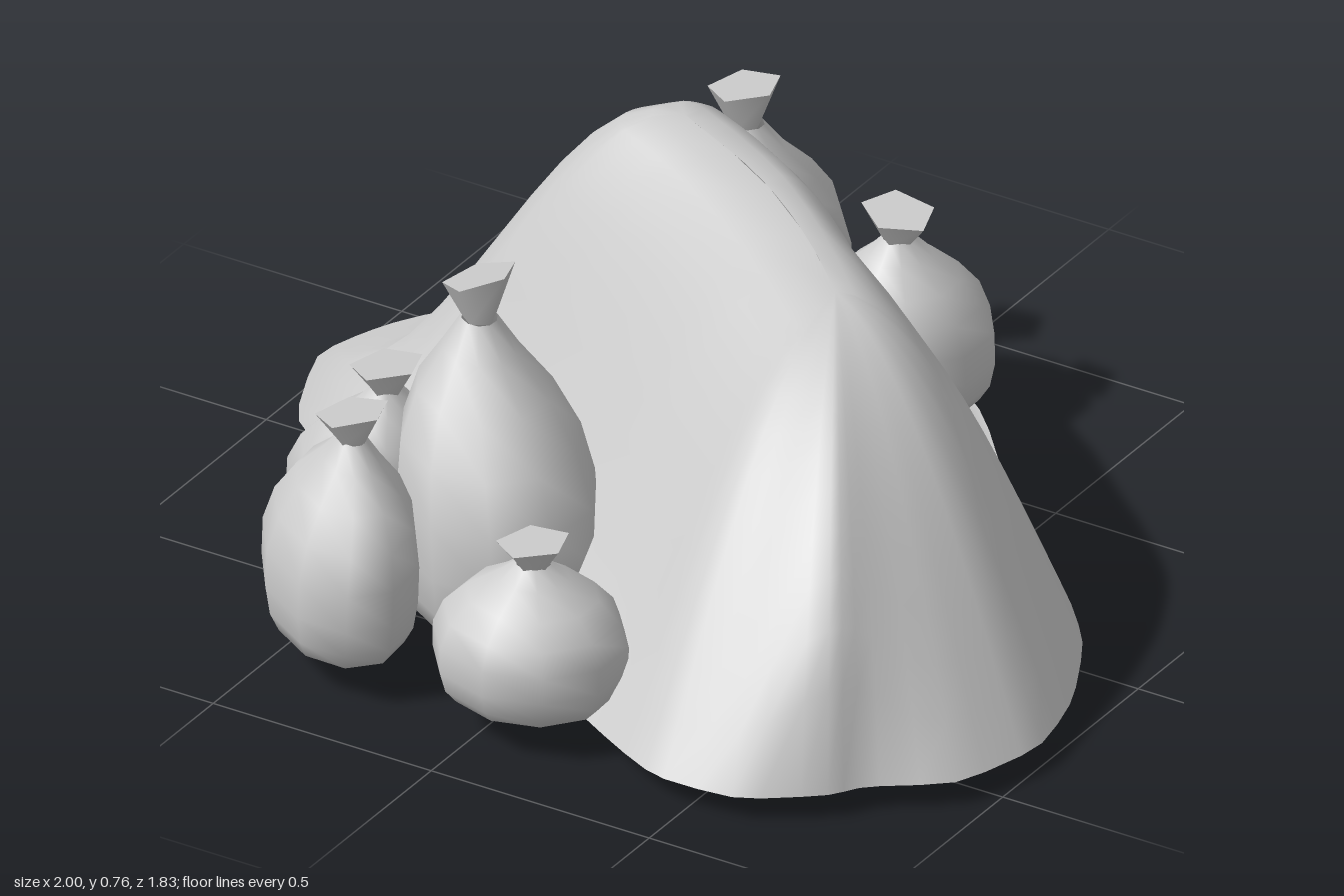
import * as THREE from 'three';
import { mergeVertices } from 'three/addons/utils/BufferGeometryUtils.js';

const material = new THREE.MeshStandardMaterial({ color: 0xcccccc, side: THREE.DoubleSide });
const { clamp, lerp, smoothstep } = THREE.MathUtils;

// Height fraction of the mound at t (0 = ground, 1 = ridge) above one foot point
function moundRise(t, foot) {
  // sweeping out into a flat foot on the left and back, domed elsewhere
  const flare = Math.max(clamp(0.4 - 1.2 * foot.x, 0, 1), smoothstep(-foot.z, 0.25, 0.55));
  // steeper shoulder at the front corner
  const shoulder = Math.exp(-((foot.x - 0.75) ** 2 + (foot.z - 0.72) ** 2) / 0.03);
  const dome = Math.sin(t * Math.PI / 2) ** (1 - 0.4 * shoulder);
  return lerp(dome, smoothstep(t, 0.05, 0.94), flare);
}

// Open shell: rings run from the ground outline up to a short curved ridge
function createMound() {
  const outline = new THREE.CatmullRomCurve3([
    [-1, -0.19], [-0.97, -0.32], [-0.9, -0.45], [-0.58, -0.82], [-0.4, -0.885], [-0.2, -0.89],
    [0, -0.84], [0.22, -0.68], [0.4, -0.48], [0.73, -0.17], [0.86, -0.02], [0.96, 0.18],
    [1, 0.37], [0.94, 0.57], [0.8, 0.68], [0.75, 0.75], [0.61, 0.85], [0.43, 0.86],
    [0.26, 0.78], [-0.15, 0.54], [-0.6, 0.23], [-0.78, 0.13], [-0.91, 0.03],
  ].map(([x, z]) => new THREE.Vector3(x, 0.05, z)), true, 'catmullrom', 0.3);
  const ridge = new THREE.CatmullRomCurve3([
    [-0.24, 0.76, -0.32], [0, 0.745, -0.21], [0.19, 0.73, -0.08], [0.33, 0.71, 0.04],
  ].map((p) => new THREE.Vector3(...p)));
  const start = ridge.getPoint(0);
  const axis = ridge.getPoint(1).sub(start).setY(0);
  const length = axis.length();
  axis.normalize();

  const sides = 60, rings = 12;
  const positions = [], index = [];
  for (let k = 0; k <= rings; k++) {
    const t = k / rings;
    for (let i = 0; i < sides; i++) {
      const foot = outline.getPoint(i / sides);
      const along = foot.clone().sub(start).dot(axis) / length;
      const top = ridge.getPoint(clamp(0.5 + (along - 0.5) * 0.6, 0, 1));
      const y = lerp(foot.y, top.y, moundRise(t, foot));
      positions.push(lerp(foot.x, top.x, t), y, lerp(foot.z, top.z, t));
      if (k < rings) {
        const a = k * sides + i, b = k * sides + (i + 1) % sides;
        index.push(a, a + sides, b, b, a + sides, b + sides);
      }
    }
  }
  let geometry = new THREE.BufferGeometry();
  geometry.setAttribute('position', new THREE.Float32BufferAttribute(positions, 3));
  geometry.setIndex(index);
  geometry = mergeVertices(geometry, 1e-3);
  geometry.computeVertexNormals();
  const mesh = new THREE.Mesh(geometry, material);
  mesh.name = 'mound';
  return mesh;
}

// Tied sack: a lathed body leaning toward a flared five-sided neck
const bodyProfile = [
  [0, 0], [0.6, 0.01], [0.82, 0.07], [0.94, 0.16], [1, 0.3], [1, 0.48],
  [0.9, 0.64], [0.68, 0.78], [0.38, 0.9], [0.18, 1],
];

function createSack({ name, center, neck, radii, yaw = 0, base, pinch, top, tilt }) {
  const sack = new THREE.Group();
  sack.name = name;

  let body = new THREE.LatheGeometry(bodyProfile.map(([r, y]) => new THREE.Vector2(r, y)), 10);
  body.deleteAttribute('uv');
  body.deleteAttribute('normal');
  body = mergeVertices(body, 1e-4);
  body.scale(radii[0], pinch - base, radii[1]);
  body.rotateY(yaw);
  const p = body.attributes.position;
  for (let i = 0; i < p.count; i++) {
    const lean = smoothstep(p.getY(i) / (pinch - base), 0.35, 1);
    p.setXYZ(i,
      p.getX(i) + lerp(center[0], neck[0], lean),
      p.getY(i) + base,
      p.getZ(i) + lerp(center[1], neck[1], lean));
  }
  body.computeVertexNormals();
  const bodyMesh = new THREE.Mesh(body, material);
  bodyMesh.name = 'sackBody';

  // Neck flare with a slanted mouth
  const height = top - pinch;
  const flare = new THREE.CylinderGeometry(0.075, 0.034, height, 5);
  const q = flare.attributes.position;
  for (let i = 0; i < q.count; i++) {
    if (q.getY(i) > 0) q.setY(i, q.getY(i) - 0.015 + q.getX(i) * tilt);
  }
  flare.translate(neck[0], pinch + height / 2 - 0.005, neck[1]);
  const neckMesh = new THREE.Mesh(flare, material);
  neckMesh.name = 'sackNeck';

  sack.add(bodyMesh, neckMesh);
  return sack;
}

const sacks = [
  { name: 'backLargeSack', center: [-0.36, -0.725], neck: [-0.3, -0.64], radii: [0.225, 0.19], base: 0.015, pinch: 0.57, top: 0.67, tilt: 0.15 },
  { name: 'backSmallSack', center: [0.05, -0.67], neck: [0.04, -0.66], radii: [0.18, 0.178], base: 0.03, pinch: 0.405, top: 0.48, tilt: -0.15 },
  { name: 'frontOuterSack', center: [-0.555, 0.33], neck: [-0.5, 0.36], radii: [0.17, 0.175], base: 0, pinch: 0.4, top: 0.47, tilt: 0.15 },
  { name: 'frontTallSack', center: [-0.2, 0.43], neck: [-0.29, 0.355], radii: [0.24, 0.2], yaw: -0.8, base: 0, pinch: 0.62, top: 0.73, tilt: 0.35 },
  { name: 'frontNarrowSack', center: [-0.39, 0.71], neck: [-0.38, 0.68], radii: [0.23, 0.15], yaw: -0.75, base: 0.045, pinch: 0.48, top: 0.555, tilt: 0.2 },
  { name: 'frontSquatSack', center: [0.06, 0.73], neck: [0.06, 0.72], radii: [0.2, 0.18], base: 0.05, pinch: 0.35, top: 0.415, tilt: 0.1 },
];

export function createModel() {
  const group = new THREE.Group();
  group.name = 'moundWithSacks';
  group.add(createMound(), ...sacks.map(createSack));
  return group;
}
